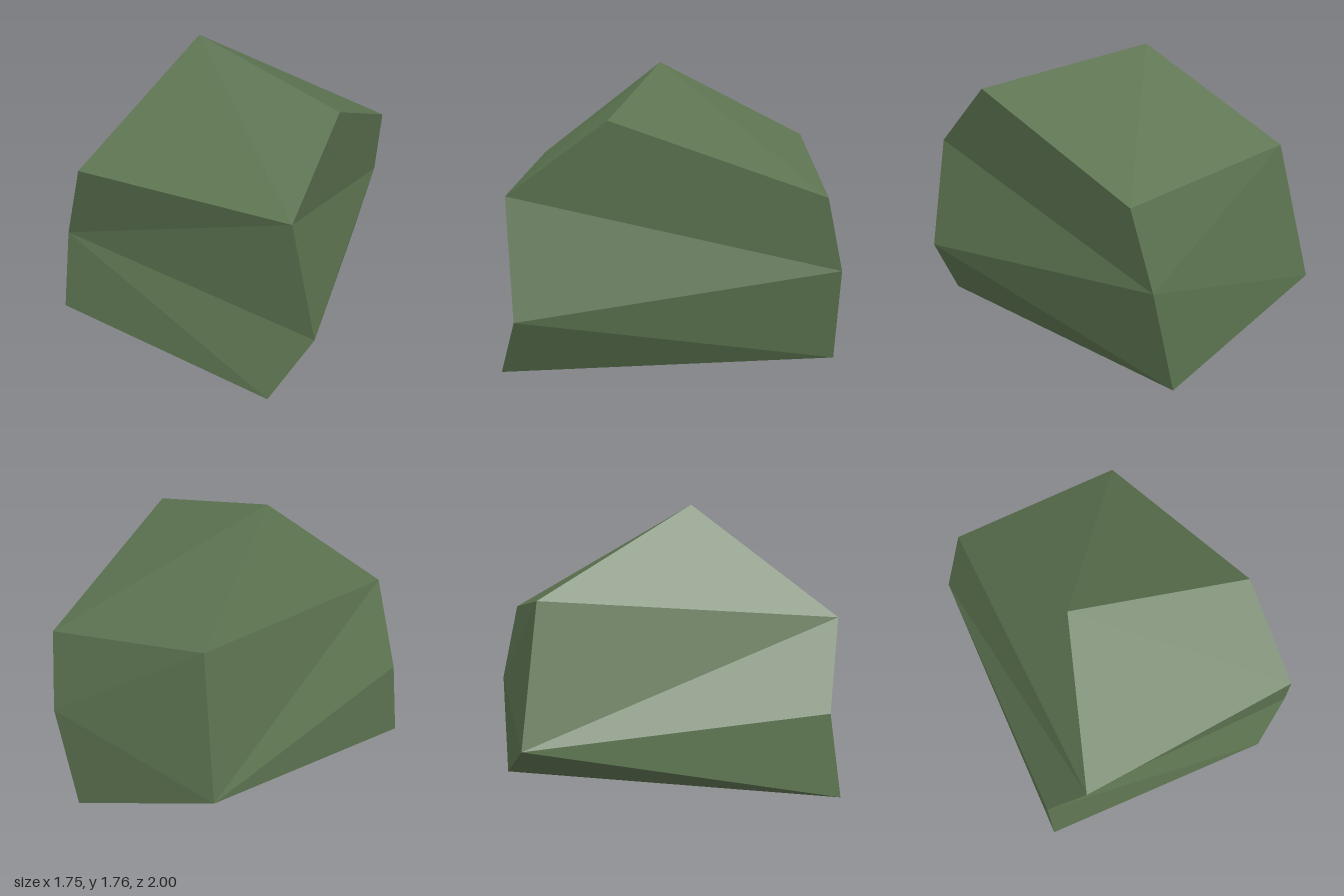
import * as THREE from 'three';

// Corner points of the faceted boulder
const corners = {
  A: [-0.28, 1.76, 0.07],  // peak
  B: [0.75, 1.54, 0.35],   // right shoulder
  C: [0.74, 1.12, 0.92],   // front brow
  D: [-0.64, 1.11, 0.87],
  E: [-0.86, 0.59, 0.74],  // front waist
  F: [0.87, 0.43, 0.88],
  G: [-0.88, 0.09, 0.81],  // front foot
  H: [0.65, 0.04, 1.0],
  I: [0.36, 0.0, -1.0],    // back foot
  J: [0.58, 1.07, -0.89],  // back brow
  K: [-0.53, 1.25, -0.88],
  L: [0.51, 0.61, -1.0],   // back waist
  M: [-0.68, 0.44, -1.0],
};

// Facets, grouped by the side they belong to
const facets = {
  top: 'ABC ACD AJB AKJ ADK',
  front: 'DCE ECF EFH EHG',
  right: 'BCL BLJ CFL FIL FHI',
  left: 'KDM DEM EGM',
  back: 'JKL KML LMI',
  bottom: 'HGI IGM',
};

// Turns each facet so that it faces away from the middle of the rock
function facetGeometry() {
  const middle = new THREE.Vector3(0, 0.75, 0);
  const points = [];
  for (const side of Object.values(facets)) {
    for (const name of side.split(' ')) {
      const [a, b, c] = [...name].map((k) => new THREE.Vector3(...corners[k]));
      const normal = b.clone().sub(a).cross(c.clone().sub(a));
      const outward = normal.dot(a.clone().sub(middle)) > 0;
      points.push(...(outward ? [a, b, c] : [a, c, b]));
    }
  }
  const geometry = new THREE.BufferGeometry().setFromPoints(points);
  geometry.computeVertexNormals(); // unshared corners keep every facet flat
  return geometry;
}

export function createModel() {
  const group = new THREE.Group();
  group.name = 'boulder';
  const mossGreen = new THREE.MeshStandardMaterial({ color: 0x5c7350 });
  mossGreen.name = 'moss green';
  const rock = new THREE.Mesh(facetGeometry(), mossGreen);
  rock.name = 'rock';
  group.add(rock);
  return group;
}
